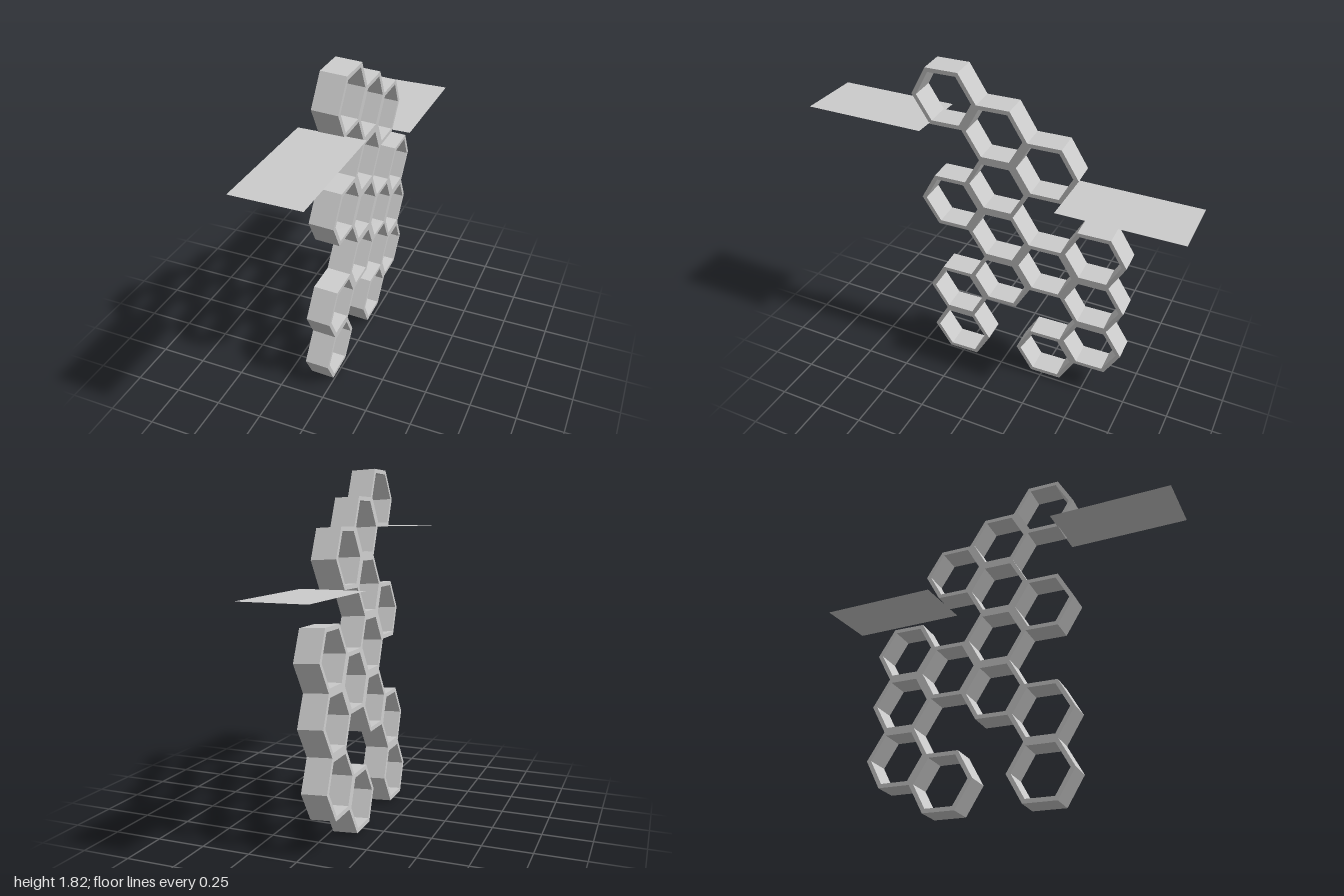
import * as THREE from 'three';

const R = 0.175;                      // outer hexagon radius
const APOTHEM = R * Math.sqrt(3) / 2;
const INNER = 0.15;                   // opening radius
const DEPTH = 0.13;

function hexPoints(radius) {
  return Array.from({ length: 6 }, (_, i) => {
    const a = i * Math.PI / 3;
    return new THREE.Vector2(radius * Math.cos(a), radius * Math.sin(a));
  });
}

export function createModel() {
  const model = new THREE.Group();
  const material = new THREE.MeshStandardMaterial({ color: 0xcccccc, flatShading: true });
  const sheetMaterial = new THREE.MeshStandardMaterial({ color: 0xcccccc, side: THREE.DoubleSide });

  // Hollow hexagonal cell, open along x
  const shape = new THREE.Shape(hexPoints(R));
  shape.holes.push(new THREE.Path(hexPoints(INNER).reverse()));
  const cellGeometry = new THREE.ExtrudeGeometry(shape, { depth: DEPTH, bevelEnabled: false });
  cellGeometry.translate(0, 0, -DEPTH / 2);
  cellGeometry.rotateY(-Math.PI / 2);

  // Honeycomb: column -> rows counted in half cell heights
  const columns = [
    [1, [5, 1, -3, -5]],
    [0, [4, 2, 0, -2]],
    [-1, [3, -1, -5]],
    [-2, [0, -2, -4]],
  ];
  const honeycomb = new THREE.Group();
  honeycomb.name = 'honeycomb';
  for (const [column, rows] of columns) {
    for (const row of rows) {
      const cell = new THREE.Mesh(cellGeometry, material);
      cell.name = 'hexagonCell';
      cell.position.set(0, row * APOTHEM, column * R * 1.5);
      honeycomb.add(cell);
    }
  }
  honeycomb.position.set(-0.025, 0.918, 0);
  honeycomb.rotation.set(0.01, 0.014, -0.058); // slight lean
  model.add(honeycomb);

  // Flat horizontal sheets reaching out to the front and back
  const sheetGeometry = new THREE.PlaneGeometry(0.342, 0.648).rotateX(-Math.PI / 2);
  for (const [name, x, y, z] of [
    ['frontSheet', 0.016, 1.525, 0.676],
    ['backSheet', -0.018, 1.228, -0.676],
  ]) {
    const sheet = new THREE.Mesh(sheetGeometry, sheetMaterial);
    sheet.name = name;
    sheet.position.set(x, y, z);
    model.add(sheet);
  }
  return model;
}
